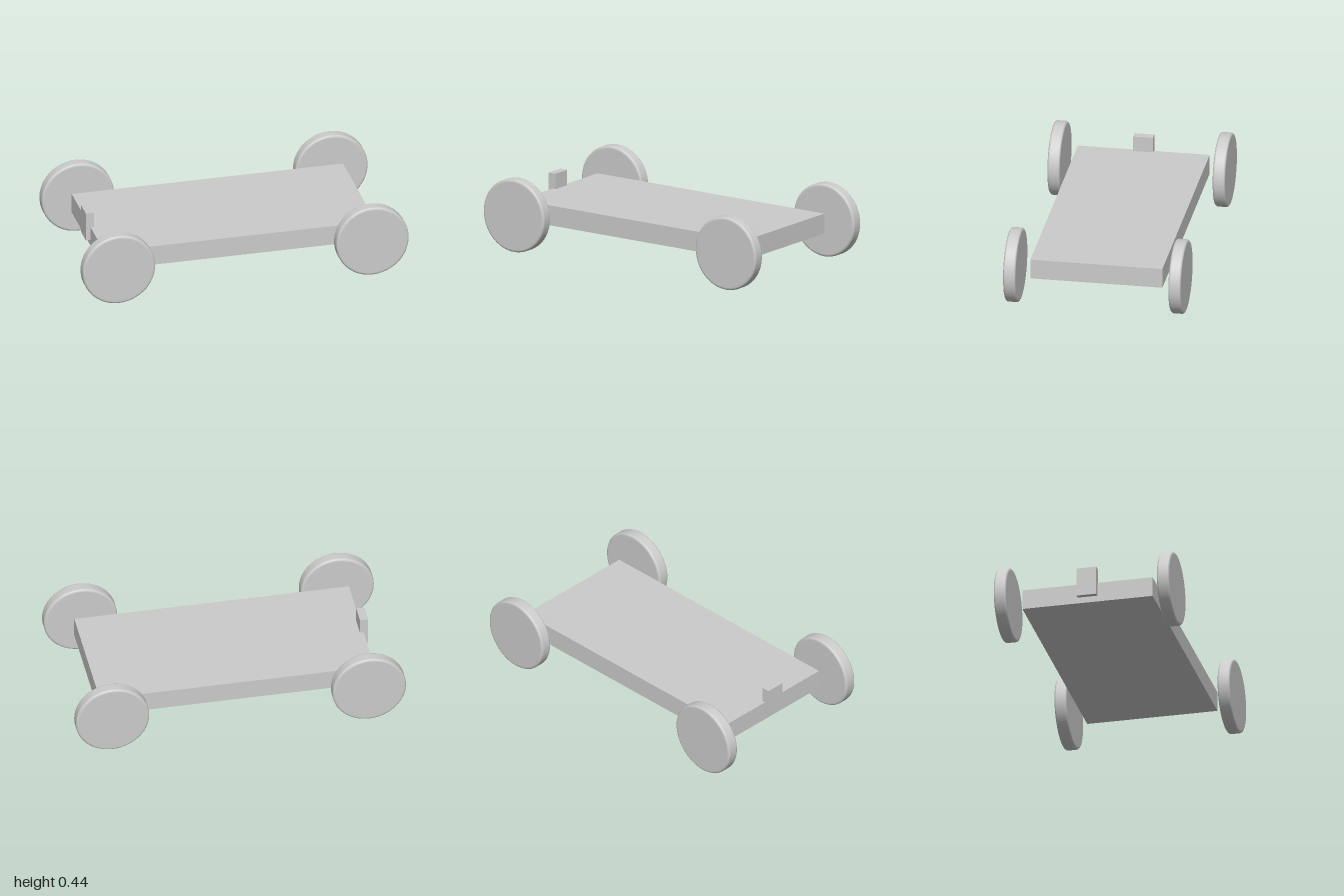
import * as THREE from 'three';

export function createModel() {
  const model = new THREE.Group();
  const material = new THREE.MeshStandardMaterial({ color: 0xcccccc });

  const add = (name, geometry, x, y, z) => {
    const mesh = new THREE.Mesh(geometry, material);
    mesh.name = name;
    mesh.position.set(x, y, z);
    model.add(mesh);
    return mesh;
  };

  // Flat chassis slab
  add('chassis', new THREE.BoxGeometry(1.663, 0.122, 0.796), -0.002, 0.226, 0);

  // Small upright tab overlapping the chassis end
  add('endTab', new THREE.BoxGeometry(0.05, 0.178, 0.12), -0.837, 0.292, 0);

  // Wheel: solid disc with softly rounded rims
  const radius = 0.2225, half = 0.0375, round = 0.014, steps = 4;
  const profile = [new THREE.Vector2(0, -half), new THREE.Vector2(radius - round * 1.3, -half)];
  for (const side of [-1, 1]) {
    for (let i = 0; i <= steps; i++) {
      const a = side * (Math.PI / 2) * (side < 0 ? 1 - i / steps : i / steps);
      profile.push(new THREE.Vector2(
        radius - round + round * Math.cos(a),
        side * (half - round) + round * Math.sin(a)
      ));
    }
  }
  profile.push(new THREE.Vector2(radius - round * 1.3, half), new THREE.Vector2(0, half));
  const wheel = new THREE.LatheGeometry(profile, 64).rotateX(Math.PI / 2);

  // Four wheels standing clear of the chassis sides
  for (const [end, x] of [['Left', 0.7775], ['Right', -0.7775]]) {
    for (const [side, z] of [['front', 0.4985], ['back', -0.4985]]) {
      add(`${side}${end}Wheel`, wheel, x, radius + 0.002, z);
    }
  }

  return model;
}
